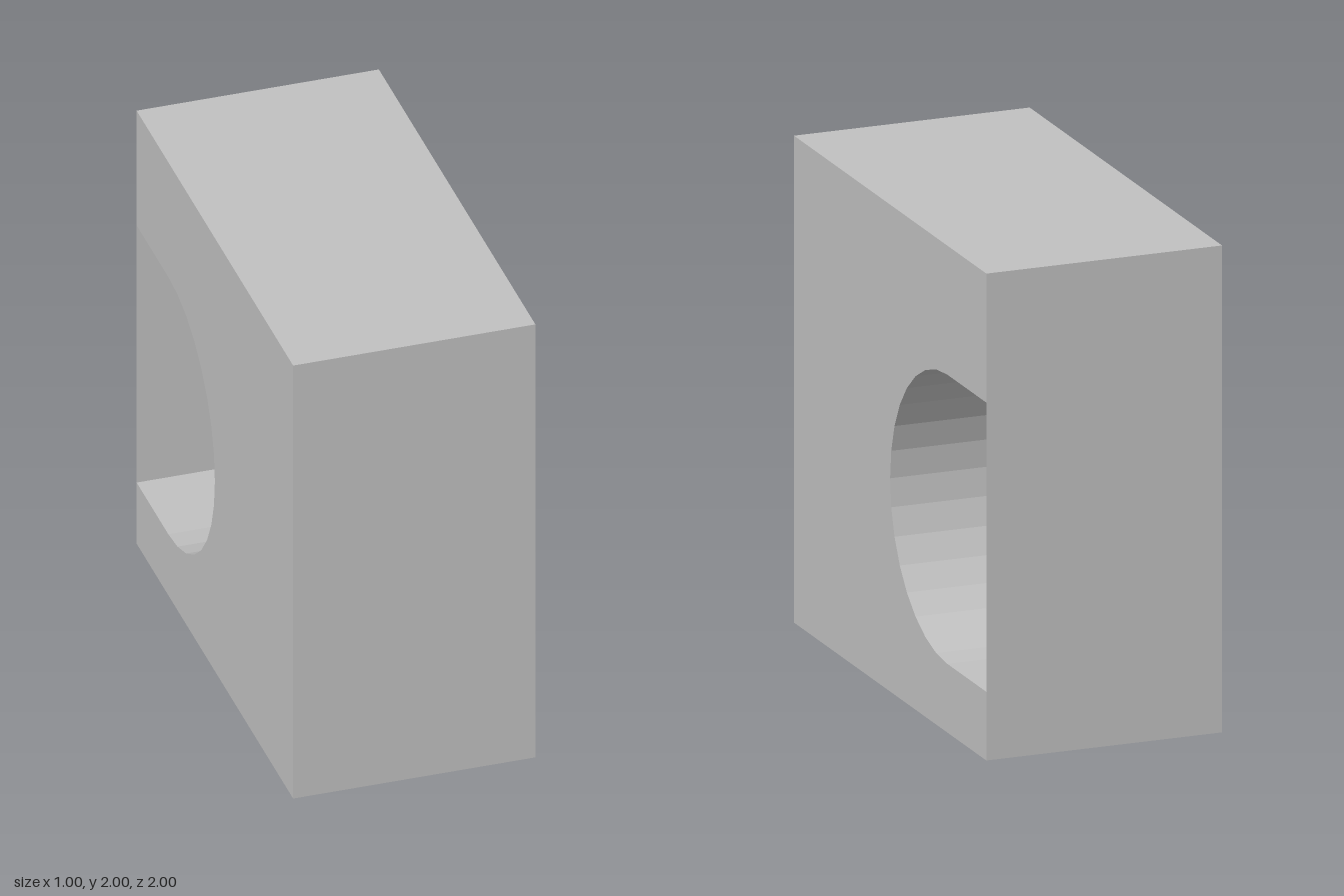
import * as THREE from 'three';

export function createModel() {
  const group = new THREE.Group();
  group.name = 'notchedBlock';

  const grey = new THREE.MeshStandardMaterial({ color: 0xc0c0c0 });
  grey.name = 'grey';
  const greySheet = grey.clone();
  greySheet.side = THREE.DoubleSide;

  const width = 1, radius = 0.594, centreY = 0.876;
  const low = centreY - radius, high = centreY + radius;

  // Side profile: square with a round-ended notch open to the back
  const profile = new THREE.Shape();
  profile.moveTo(-1, 0);
  profile.lineTo(1, 0);
  profile.lineTo(1, low);
  profile.lineTo(radius, low);
  profile.absarc(radius, centreY, radius, -Math.PI / 2, -Math.PI * 1.5, true);
  profile.lineTo(1, high);
  profile.lineTo(1, 2);
  profile.lineTo(-1, 2);
  profile.closePath();

  const blockGeometry = new THREE.ExtrudeGeometry(profile, {
    depth: width, bevelEnabled: false, curveSegments: 8,
  });
  blockGeometry.rotateY(Math.PI / 2).translate(-width / 2, 0, 0);
  const block = new THREE.Mesh(blockGeometry, grey);
  block.name = 'block';
  group.add(block);

  // Paper-thin wall closing the back of the notch
  const wall = new THREE.Mesh(new THREE.PlaneGeometry(width, high - low), greySheet);
  wall.name = 'backWall';
  wall.rotation.y = Math.PI;
  wall.position.set(0, centreY, -1);
  group.add(wall);

  return group;
}
